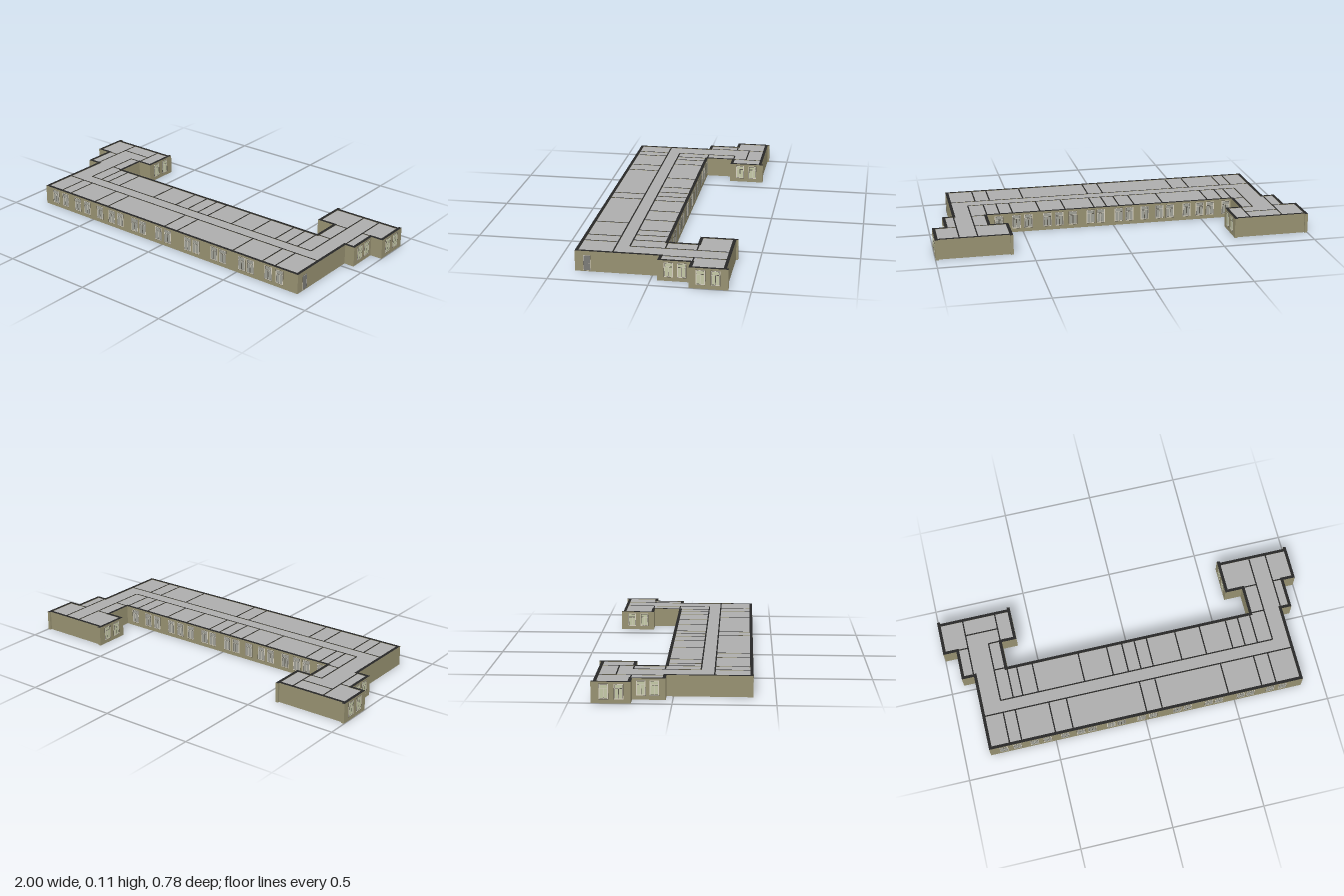
import * as THREE from 'three';

const mat = (name, color) => {
  const m = new THREE.MeshStandardMaterial({ color });
  m.name = name;
  return m;
};

export function createModel() {
  const model = new THREE.Group();
  model.name = 'singleStoreyBuilding';
  const M = {
    wall: mat('olive wall', 0x979171),
    edge: mat('dark wall cut', 0x272727),
    grey: mat('light grey ceiling and tile', 0xacacac),
    corridor: mat('dark grey floor', 0x6a6d67),
    room: mat('tan floor', 0xc1af8b),
    frame: mat('pale window frame', 0xd6d0c0),
    paleGlass: mat('pale green glass', 0xc4c8a6),
    greyGlass: mat('grey glass', 0xa0a198),
    trim: mat('dark trim', 0x5c594f),
    door: mat('grey door', 0x7b7b77),
  };
  const H = 0.107, T = 0.016, THIN = 0.007;

  const add = (parent, name, geo, material) => {
    const mesh = new THREE.Mesh(geo, material);
    mesh.name = name;
    parent.add(mesh);
    return mesh;
  };
  // box given by its extents
  const span = (parent, name, x0, x1, y0, y1, z0, z1, material) => {
    const mesh = add(parent, name, new THREE.BoxGeometry(x1 - x0, y1 - y0, z1 - z0), material);
    mesh.position.set((x0 + x1) / 2, (y0 + y1) / 2, (z0 + z1) / 2);
    return mesh;
  };

  // Plan outline as x, z corners
  const plan = [
    [-0.86, 0.389], [0.878, 0.389], [0.878, -0.034], [0.933, -0.034], [0.933, -0.197],
    [0.999, -0.197], [0.999, -0.38], [0.598, -0.38], [0.598, -0.197], [0.693, -0.197],
    [0.693, -0.05], [-0.673, -0.05], [-0.673, -0.197], [-0.591, -0.197], [-0.591, -0.38],
    [-0.999, -0.38], [-0.999, -0.197], [-0.927, -0.197], [-0.927, -0.034], [-0.86, -0.034],
  ].map(([x, z]) => new THREE.Vector2(x, -z));
  const inset = (pts, d) => pts.map((p, i) => {
    const a = p.clone().sub(pts[(i + pts.length - 1) % pts.length]).normalize();
    const b = pts[(i + 1) % pts.length].clone().sub(p).normalize();
    return new THREE.Vector2(p.x - (a.y + b.y) * d, p.y + (a.x + b.x) * d);
  });
  const inner = inset(plan, T);
  const slab = (name, shape, y0, y1, material) => {
    const geo = new THREE.ExtrudeGeometry(shape, { depth: y1 - y0, bevelEnabled: false });
    geo.rotateX(-Math.PI / 2);
    add(model, name, geo, material).position.y = y0;
  };

  // Outer walls, ceiling and corridor floor
  const ring = new THREE.Shape(plan);
  ring.holes.push(new THREE.Path(inner));
  slab('outerWalls', ring, 0, H, [M.edge, M.wall]);
  slab('ceiling', new THREE.Shape(inner), 0.101, 0.105, M.grey);
  slab('corridorFloor', new THREE.Shape(inner), 0.003, 0.006, M.corridor);

  // Short wall ends projecting at the back
  const cut = [M.wall, M.wall, M.edge, M.edge, M.wall, M.wall];
  for (const x of [-0.999, -0.591 - T, 0.598, 0.999 - T])
    span(model, 'wallEnd', x, x + T, 0, H, -0.39, -0.38, cut);

  // Inner walls
  const inside = new THREE.Group();
  inside.name = 'innerWalls';
  model.add(inside);
  const wallX = (z, x0, x1) => span(inside, 'partition', x0, x1, 0, H - 0.0005, z - THIN / 2, z + THIN / 2, cut);
  const wallZ = (x, z0, z1) => span(inside, 'partition', x - THIN / 2, x + THIN / 2, 0, H - 0.0005, z0, z1, cut);
  const backRow = [-0.676, -0.623, -0.537, -0.28, -0.12, -0.035, 0.035, 0.104, 0.265, 0.404, 0.553, 0.623, 0.693];
  const frontRow = [-0.746, -0.68, -0.495, -0.398, 0.008, 0.094, 0.463, 0.65, 0.73];
  backRow.forEach(x => wallZ(x, -0.045, 0.131));
  frontRow.forEach(x => wallZ(x, 0.2, 0.38));
  wallX(0.131, -0.746, 0.778);
  wallX(0.2, -0.85, 0.866);
  wallZ(-0.746, -0.206, 0.131);
  wallZ(0.778, -0.375, 0.131);
  wallZ(-0.86, -0.375, -0.04);
  wallZ(0.873, -0.375, -0.04);
  wallZ(-0.68, -0.375, -0.2);
  wallX(-0.28, -0.86, -0.68);
  for (const [a, b] of [[-0.925, -0.86], [-0.746, -0.675], [0.695, 0.778], [0.873, 0.93]]) wallX(-0.205, a, b);
  wallX(-0.047, -0.746, -0.676);
  wallX(-0.047, 0.693, 0.778);

  // Room floors
  const floor = (x0, x1, z0, z1, m = M.room) =>
    span(model, 'roomFloor', x0 + 0.003, x1 - 0.003, 0.001, 0.004, z0 + 0.003, z1 - 0.003, m);
  const back = [-0.746, ...backRow, 0.778];
  for (let i = 0; i < back.length - 1; i++)
    floor(back[i], back[i + 1], -0.04, 0.131, back[i] === 0.553 ? M.grey : M.room);
  const front = [-0.848, ...frontRow, 0.866];
  for (let i = 0; i < front.length - 1; i++)
    if (front[i] !== -0.68 && front[i] !== 0.463) floor(front[i], front[i + 1], 0.2, 0.376);
  for (const [a, b, c, d] of [
    [-0.986, -0.86, -0.367, -0.208], [-0.86, -0.68, -0.367, -0.28], [-0.68, -0.604, -0.367, -0.208],
    [-0.914, -0.86, -0.203, -0.046], [-0.746, -0.686, -0.203, -0.048],
    [0.611, 0.778, -0.367, -0.208], [0.873, 0.986, -0.367, -0.208],
    [0.706, 0.778, -0.203, -0.048], [0.873, 0.92, -0.203, -0.046],
  ]) floor(a, b, c, d);

  // Thin plate whose face stands `out` proud of the wall
  const plate = (g, name, w, h, y, x, out, m) =>
    add(g, name, new THREE.BoxGeometry(w, h, 0.0016), m).position.set(x, y, out - 0.0008);
  const place = (name, x, z, angle) => {
    const g = new THREE.Group();
    g.name = name;
    g.position.set(x, 0, z);
    g.rotation.y = angle;
    model.add(g);
    return g;
  };
  // Window: trim, frame, top light and two sashes, facing local +z
  const windowAt = (x, z, angle, glass) => {
    const g = place('window', x, z, angle);
    plate(g, 'windowTrim', 0.0475, 0.0775, 0.0585, 0, 0.0003, M.trim);
    plate(g, 'windowFrame', 0.045, 0.075, 0.0585, 0, 0.0006, M.frame);
    plate(g, 'topLightGap', 0.037, 0.017, 0.0845, 0, 0.0009, M.trim);
    plate(g, 'topLight', 0.0345, 0.0145, 0.0845, 0, 0.0012, glass);
    for (const s of [-1, 1]) {
      plate(g, 'sashGap', 0.0175, 0.049, 0.0495, s * 0.0098, 0.0009, M.trim);
      plate(g, 'sashPane', 0.0155, 0.047, 0.0495, s * 0.0098, 0.0012, glass);
    }
  };
  const frontX = [-0.783, -0.709, -0.615, -0.543, -0.447, -0.36, -0.297, -0.193, -0.136, -0.024, 0.04,
    0.176, 0.233, 0.353, 0.409, 0.532, 0.586, 0.698, 0.767];
  const backX = [0.63, 0.535, 0.47, 0.366, 0.3, 0.225, 0.127, 0.07, -0.03, -0.09, -0.176, -0.26, -0.32,
    -0.415, -0.49, -0.55, -0.64];
  const EAST = Math.PI / 2, WEST = -Math.PI / 2;
  frontX.forEach(x => windowAt(x, 0.389, 0, M.greyGlass));
  backX.forEach(x => windowAt(x, -0.05, Math.PI, M.greyGlass));
  for (const z of [-0.255, -0.328]) {
    for (const x of [0.999, -0.591]) windowAt(x, z, EAST, M.paleGlass);
    for (const x of [-0.999, 0.598]) windowAt(x, z, WEST, M.paleGlass);
  }
  for (const z of [-0.089, -0.154]) {
    windowAt(0.933, z, EAST, M.paleGlass);
    windowAt(-0.927, z, WEST, M.paleGlass);
  }

  // Side entrance door
  const d = place('sideDoor', 0.878, 0.328, EAST);
  plate(d, 'doorTrim', 0.038, 0.082, 0.045, 0, 0.0003, M.trim);
  plate(d, 'doorFrame', 0.0355, 0.0795, 0.0447, 0, 0.0006, M.frame);
  plate(d, 'doorLeaf', 0.0315, 0.076, 0.044, 0, 0.0009, M.door);
  plate(d, 'doorHandle', 0.005, 0.0015, 0.041, 0.011, 0.0015, M.frame);

  return model;
}
